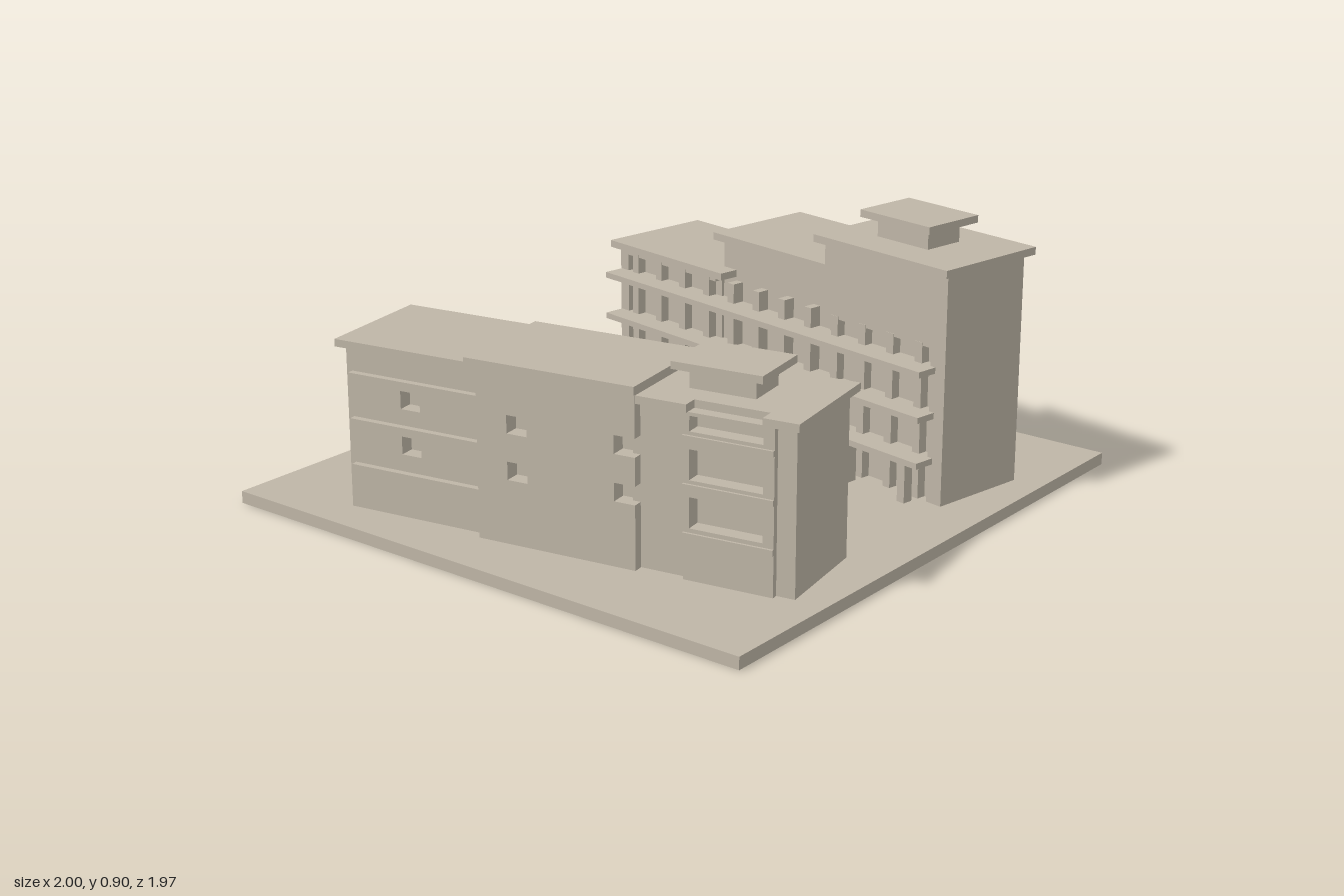
import * as THREE from 'three';

const stone = new THREE.MeshStandardMaterial({ color: 0xbeb5a6 });
stone.name = 'stone';

const BASE = 0.04;
const FLOORS = [0.18, 0.33, 0.478]; // slab mid-heights

// One wing. u runs from the courtyard side outward, v runs from front to back.
function createWing(name, side, h) {
  const wing = new THREE.Group();
  wing.name = name;
  wing.position.set(side * 0.225, 0, 0.84);
  wing.rotation.y = -side * THREE.MathUtils.degToRad(10);

  const add = (geo, part) => {
    const mesh = new THREE.Mesh(geo, stone);
    mesh.name = part;
    wing.add(mesh);
    return mesh;
  };

  const box = (part, u0, u1, y0, y1, v0, v1) => {
    const mesh = add(new THREE.BoxGeometry(u1 - u0, y1 - y0, v1 - v0), part);
    mesh.position.set(side * (u0 + u1) / 2, (y0 + y1) / 2, -(v0 + v1) / 2);
  };

  // Wall with window holes [v0, v1, y0, y1] and open corner notches [depth, y0, y1]
  const wall = (part, u0, u1, y0, y1, v0, v1, holes, notches = []) => {
    const shape = new THREE.Shape();
    shape.moveTo(v0, y0);
    shape.lineTo(v1, y0);
    shape.lineTo(v1, y1);
    shape.lineTo(v0, y1);
    for (const [d, a, b] of [...notches].reverse()) {
      shape.lineTo(v0, b);
      shape.lineTo(v0 + d, b);
      shape.lineTo(v0 + d, a);
      shape.lineTo(v0, a);
    }
    shape.closePath();
    for (const [a, b, c, d] of holes) {
      const hole = new THREE.Path();
      hole.moveTo(a, c);
      hole.lineTo(a, d);
      hole.lineTo(b, d);
      hole.lineTo(b, c);
      hole.closePath();
      shape.holes.push(hole);
    }
    const geo = new THREE.ExtrudeGeometry(shape, { depth: u1 - u0, bevelEnabled: false });
    geo.rotateY(Math.PI / 2);
    add(geo, part).position.x = Math.min(side * u0, side * u1);
  };

  // Solid cores behind the facades
  box('frontCore', 0.06, 0.35, BASE, h.front, 0.08, 0.545);
  box('middleCore', 0.07, 0.36, BASE, h.middle, 0.52, 1.06);
  box('backCore', 0.06, 0.33, BASE, h.back, 1.06, 1.51);

  // End walls
  box('frontEndWall', 0.03, 0.38, BASE, h.front, 0.02, 0.08);
  box('backEndWall', 0.03, 0.38, BASE, h.back, 1.51, 1.55);

  // Outer facades with recessed openings
  wall('frontLoggiaPanel', 0.35, 0.4, BASE, h.front, 0.08, 0.37,
    h.loggias.map(([a, b]) => [0.115, 0.35, a, b]));
  box('frontSideWall', 0.35, 0.38, BASE, h.front, 0.37, 0.545);
  wall('middleOuterWall', 0.36, 0.413, BASE, h.middle, 0.52, 1.06,
    h.windows.map(y => [0.885, 0.955, y, y + 0.058]),
    h.windows.map(y => [0.07, y, y + 0.058]));
  wall('backOuterWall', 0.33, 0.38, BASE, h.back, 1.06, 1.51,
    [0.245, 0.392].map(y => [1.285, 1.355, y, y + 0.058]));

  // Upper courtyard walls over the galleries
  const top = 0.545;
  if (h.front > 0.6) box('frontUpperWall', 0.03, 0.06, top, h.front, 0.08, 0.545);
  box('backUpperWall', 0.03, 0.06, top, h.back, 1.06, 1.51);

  // Slabs: long galleries on the courtyard side, short ledges outside
  for (const y of FLOORS) {
    box('gallerySlab', -0.043, 0.07, y - 0.01, y + 0.01, 0.06, 1.546);
    box('loggiaLedge', 0.39, 0.408, y - 0.009, y + 0.009, 0.08, 0.37);
    box('backLedge', 0.37, 0.402, y - 0.01, y + 0.01, 1.06, 1.53);
  }

  // Gallery piers and ground-floor posts
  const bays = 12;
  for (let i = 0; i < bays; i++) {
    const v = 0.13 + i * (1.34 / (bays - 1));
    box('galleryPier', 0.028, 0.07, BASE, 0.555, v - 0.015, v + 0.015);
    if (i % 2 === 0) box('groundPost', -0.035, 0.0, BASE, FLOORS[0], v - 0.015, v + 0.015);
  }

  // Flat overhanging roofs
  if (h.roofNotch) {
    box('frontRoof', 0, 0.36, h.front, h.front + 0.025, 0, 0.568);
    box('frontRoofCorner', 0.36, 0.41, h.front, h.front + 0.025, 0, 0.114);
    box('frontRoofRear', 0.36, 0.41, h.front, h.front + 0.025, 0.355, 0.568);
  } else {
    box('frontRoof', 0, 0.41, h.front, h.front + 0.025, 0, 0.568);
  }
  box('middleRoof', 0.039, 0.444, h.middle, h.middle + 0.025, 0.505, 1.08);
  box('backRoof', 0, 0.41, h.back, h.back + 0.024, 1.0, 1.57);

  // Rooftop plant room
  const r = h.front + 0.025;
  box('roofRoom', 0.133, 0.277, r, r + 0.065, 0.2, 0.415);
  box('roofRoomCap', 0.093, 0.317, r + 0.063, r + 0.087, 0.16, 0.455);
  return wing;
}

export function createModel() {
  const model = new THREE.Group();
  model.name = 'apartmentComplex';

  const ground = new THREE.Mesh(new THREE.BoxGeometry(2, BASE, 1.974), stone);
  ground.name = 'groundSlab';
  ground.position.y = BASE / 2;
  model.add(ground);

  model.add(createWing('leftWing', 1, {
    front: 0.79, middle: 0.686, back: 0.567,
    loggias: [[0.202, 0.298], [0.35, 0.444], [0.498, 0.592], [0.645, 0.74]],
    windows: [0.245, 0.392, 0.538],
  }));
  model.add(createWing('rightWing', -1, {
    front: 0.556, middle: 0.594, back: 0.568, roofNotch: true,
    loggias: [[0.202, 0.298], [0.35, 0.444], [0.498, 0.545]],
    windows: [0.245, 0.392],
  }));
  return model;
}
